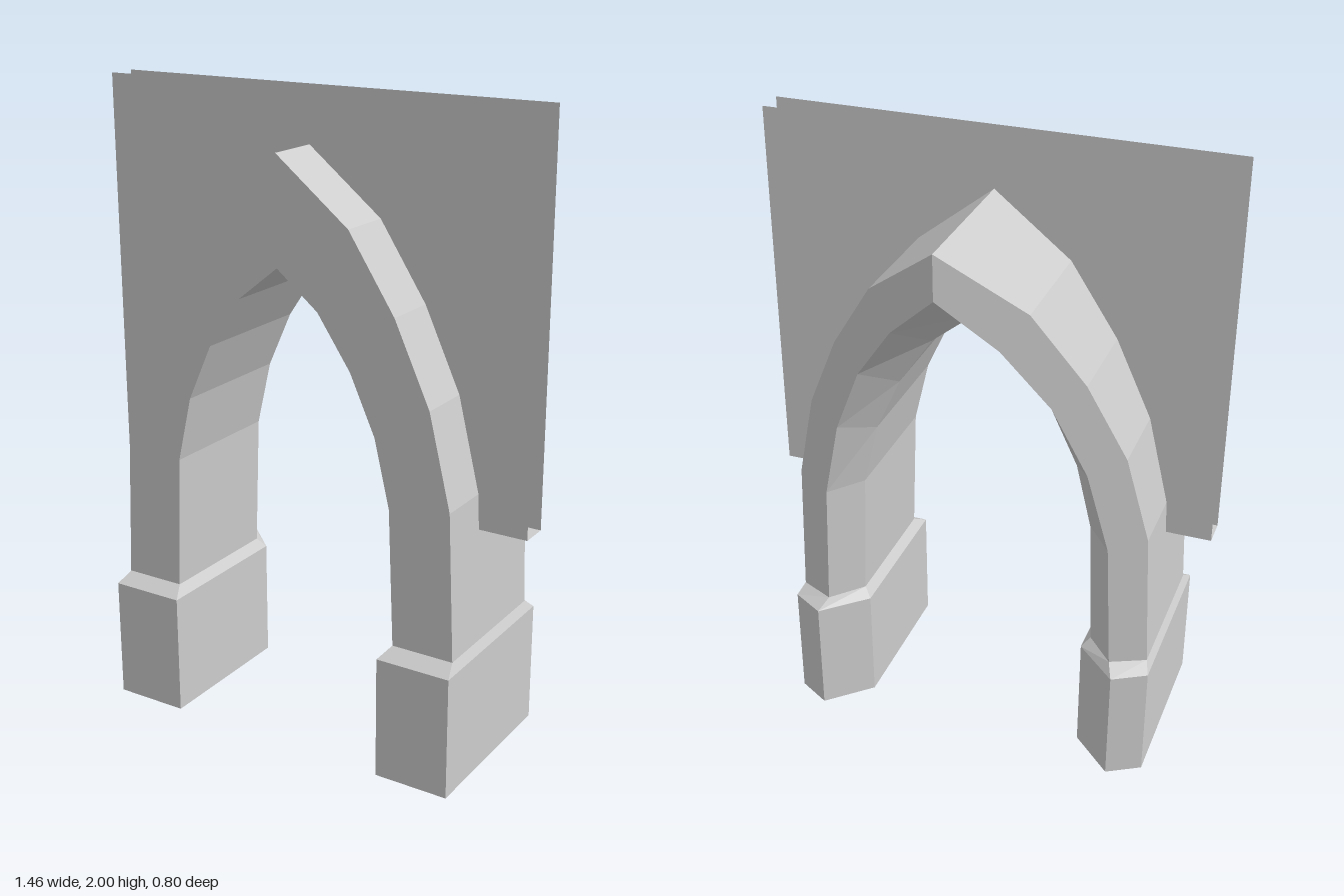
import * as THREE from 'three';

// Half profiles [x, y] from springing to apex
const OUTER = [[0.595, 0.42], [0.575, 0.88], [0.505, 1.17], [0.39, 1.42], [0.24, 1.65], [0, 1.84]];
const INNER = [[0.395, 0.42], [0.378, 0.85], [0.328, 1.06], [0.246, 1.24], [0.137, 1.4], [0, 1.51]];
const SPLAY = [[0.485, 0.42], [0.465, 0.85], [0.4, 1.12], [0.3, 1.35], [0.165, 1.54], [0, 1.7]];
const FRONT = 0.35, MID = -0.08;
const backZ = (x) => -0.4 + 0.457 * x; // rear face runs back to a point at the centre

// Skin a row of closed rings with flat faces
function loft(rings) {
  const pos = [];
  for (let r = 0; r < rings.length - 1; r++) {
    const a = rings[r], b = rings[r + 1];
    for (let i = 0; i < a.length; i++) {
      const j = (i + 1) % a.length;
      pos.push(...a[i], ...a[j], ...b[j], ...a[i], ...b[j], ...b[i]);
    }
  }
  const g = new THREE.BufferGeometry();
  g.setAttribute('position', new THREE.Float32BufferAttribute(pos, 3));
  g.computeVertexNormals();
  return g;
}

const mirrorRing = (ring) => ring.map(([x, y, z]) => [-x, y, z]);

export function createModel() {
  const group = new THREE.Group();
  const stone = new THREE.MeshStandardMaterial({ color: 0xcccccc, side: THREE.DoubleSide, flatShading: true });
  stone.name = 'pale grey stone';
  const add = (name, geometry, parent = group) => {
    const m = new THREE.Mesh(geometry, stone);
    m.name = name;
    parent.add(m);
    return m;
  };

  // Pointed arch with a splayed rear opening
  const archway = new THREE.Group();
  archway.name = 'archway';
  archway.position.x = -0.005;
  group.add(archway);
  const half = OUTER.map(([x, y], i) => [
    [x, y, FRONT],
    [x, y, backZ(x)],
    [...SPLAY[i], backZ(SPLAY[i][0])],
    [...INNER[i], MID],
    [...INNER[i], FRONT],
  ]);
  add('arch', loft([...half, ...half.slice(0, -1).reverse().map(mirrorRing)]), archway);

  // Plinths with a sloped top edge, open underneath
  const foot = [[0.61, 0.4], [0.61, -0.165], [0.505, -0.225], [0.37, -0.1], [0.37, 0.4]];
  const level = (y) => foot.map(([x, z]) => [x, y, z]);
  const rings = [level(0), level(0.39), half[0]];
  add('leftPlinth', loft(rings), archway);
  add('rightPlinth', loft(rings.map((r) => mirrorRing(r).reverse())), archway);

  // Wall: two thin faces cut around the arch, open at the top and ends
  const W = 0.73, BOTTOM = 0.77, TOP = 2;
  const notch = [[0.57, BOTTOM], ...OUTER.slice(1, -1).map(([x, y]) => [x - 0.01, y])];
  const outline = [
    [-W, BOTTOM], [-W, TOP], [W, TOP], [W, BOTTOM],
    ...notch, [0, 1.83], ...notch.slice().reverse().map(([x, y]) => [-x, y]),
  ];
  const face = new THREE.ShapeGeometry(new THREE.Shape(outline.map(([x, y]) => new THREE.Vector2(x, y))));
  add('wallFront', face).position.z = 0.175;
  const rear = add('wallBack', face);
  rear.position.z = 0.085;
  rear.rotation.y = Math.PI;
  for (const s of [1, -1]) {
    const sill = add(s > 0 ? 'leftWallUnderside' : 'rightWallUnderside', new THREE.PlaneGeometry(0.16, 0.09));
    sill.rotation.x = Math.PI / 2;
    sill.position.set(s * 0.65, BOTTOM, 0.13);
  }
  return group;
}
